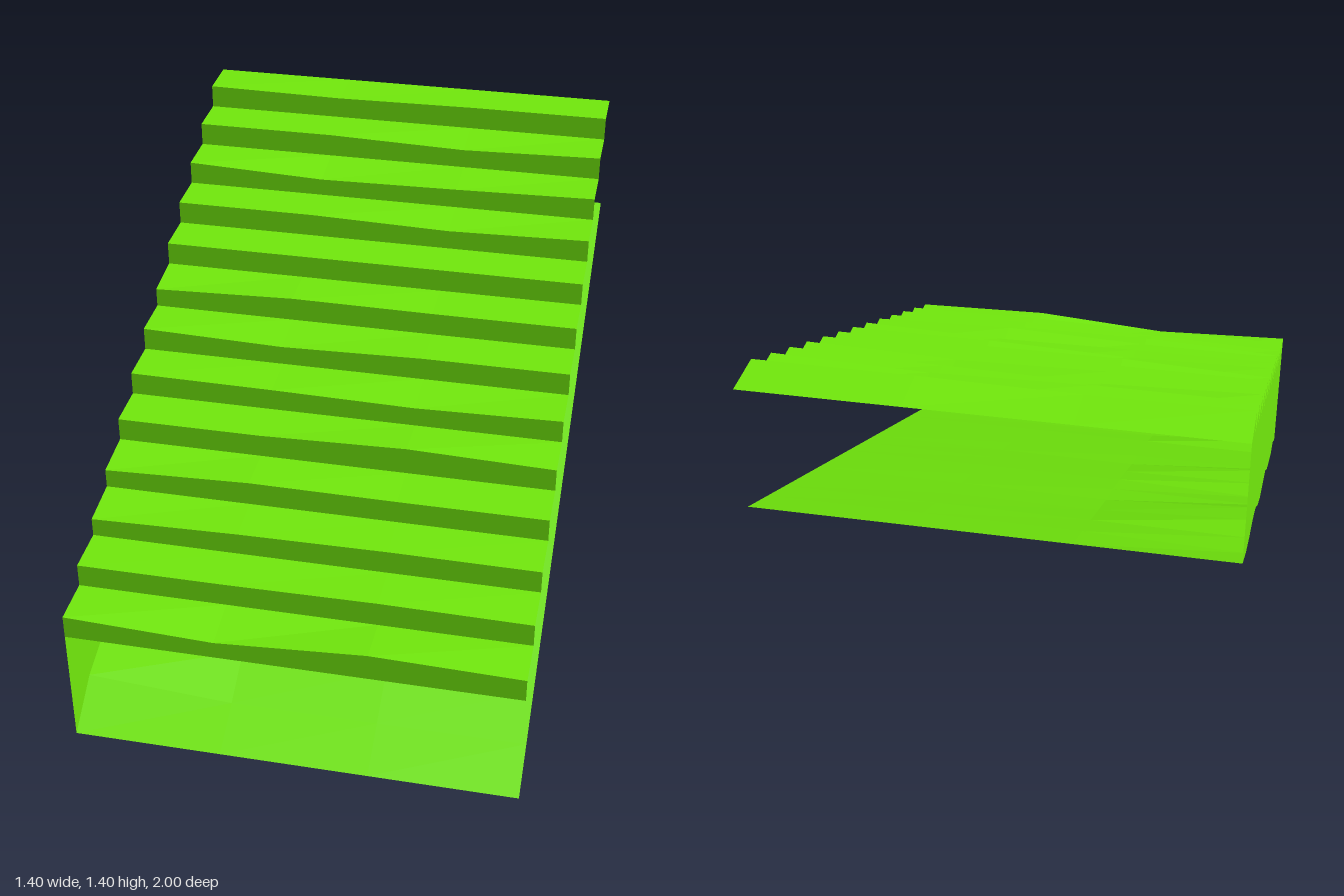
import * as THREE from 'three';

const STEPS = 13, HALF = 0.7, COLS = 3;
const RUN = 2 / STEPS, RISE = 1 / STEPS, THICK = 0.4;

// Unevenness of each step's nose at the four columns, from -x to +x
const NOSE = [
  [0, -0.02, 0.012, 0], [0, 0, 0.005, 0], [-0.015, -0.003, 0.002, 0],
  [-0.014, 0.003, 0, 0], [0, 0, 0.014, 0], [0, -0.004, -0.012, 0],
  [0, -0.013, 0, 0], [-0.014, 0.003, 0, 0], [0, 0, 0, 0],
  [0, 0, -0.012, 0], [0, -0.019, -0.011, 0], [0, 0, -0.013, 0],
  [0, -0.006, 0, 0],
];
// Unevenness of the sloping underside along its walled edge, front to back
const SAG = [0, 0.03, 0, 0, 0, 0.03, 0.01, -0.01, 0, 0.03, 0.025, 0, -0.01, 0];

const material = new THREE.MeshStandardMaterial({
  color: 0x72ea0c, side: THREE.DoubleSide, flatShading: true,
});

const zAt = (i) => 1 - i * RUN;
const baseY = (i) => THICK + i * RISE;
const noseY = (i, c) => baseY(i + 1) + NOSE[i][c];
const floorY = (i, c) => i * RISE + SAG[i] * [1, -0.15, -0.1, 0][c];

// A sheet spanning the width, with rows running front/bottom to back/top
function sheet(name, rows, heightAt, depthAt) {
  const geometry = new THREE.PlaneGeometry(2 * HALF, 1, COLS, rows);
  const p = geometry.attributes.position;
  for (let r = 0; r <= rows; r++) {
    for (let c = 0; c <= COLS; c++) {
      // Plane rows start at the top, so count backwards
      const row = rows - r, k = r * (COLS + 1) + c;
      p.setXYZ(k, p.getX(k), heightAt(row, c), depthAt(row));
    }
  }
  geometry.computeVertexNormals();
  const mesh = new THREE.Mesh(geometry, material);
  mesh.name = name;
  return mesh;
}

export function createModel() {
  const group = new THREE.Group();
  group.name = 'staircase';

  // Risers and treads
  for (let i = 0; i < STEPS; i++) {
    group.add(sheet('riser', 1, (r, c) => (r ? noseY(i, c) : baseY(i)), () => zAt(i)));
    group.add(sheet('tread', 1, (r, c) => (r ? baseY(i + 1) : noseY(i, c)), (r) => zAt(i + r)));
  }

  // Sloping underside
  group.add(sheet('underside', STEPS, floorY, zAt));

  // Single side wall, drawn with shape x = -z
  const outline = new THREE.Shape();
  outline.moveTo(-zAt(0), floorY(0, 0));
  for (let i = 1; i <= STEPS; i++) outline.lineTo(-zAt(i), floorY(i, 0));
  for (let i = STEPS - 1; i >= 0; i--) {
    outline.lineTo(-zAt(i + 1), baseY(i + 1));
    outline.lineTo(-zAt(i), noseY(i, 0));
  }
  const wall = new THREE.Mesh(new THREE.ShapeGeometry(outline), material);
  wall.name = 'sideWall';
  wall.rotation.y = Math.PI / 2;
  wall.position.x = -HALF;
  group.add(wall);

  return group;
}
